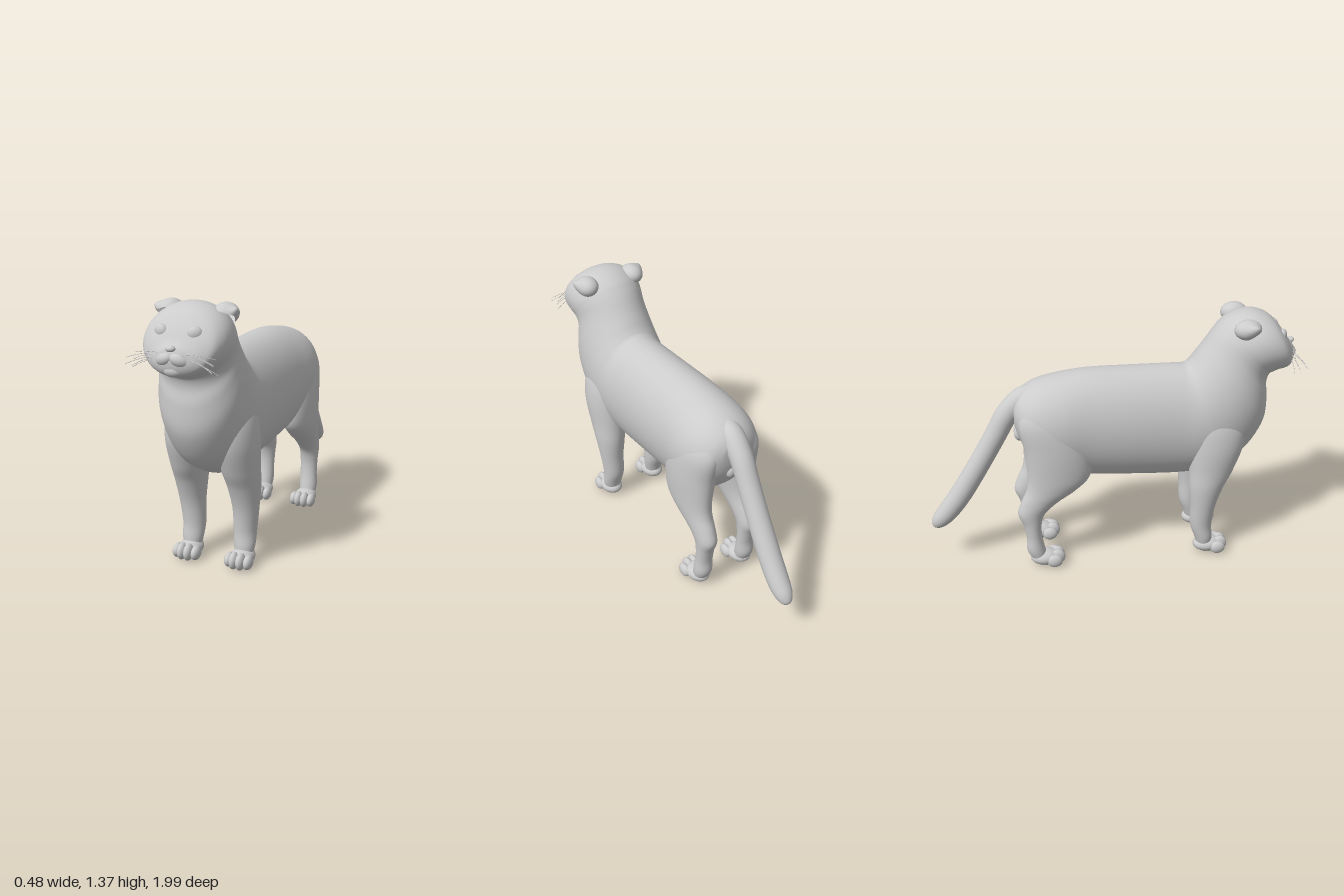
import * as THREE from 'three';

const material = new THREE.MeshStandardMaterial({ color: 0xcccccc });
const thin = new THREE.MeshStandardMaterial({ color: 0xcccccc, side: THREE.DoubleSide });

function add(group, name, geometry, mat = material) {
  const mesh = new THREE.Mesh(geometry, mat);
  mesh.name = name;
  group.add(mesh);
  return mesh;
}

// Smooth skin over tilted oval rings. Row: [zA, yA, zB, yB, halfWidth, centreX]
function loft(rows, side = 1, steps = 64, sides = 40) {
  const a = new THREE.CatmullRomCurve3(rows.map(r => new THREE.Vector3(r[4], r[1], r[0])), false, 'centripetal');
  a.curveType = 'catmullrom';
  const b = new THREE.CatmullRomCurve3(rows.map(r => new THREE.Vector3((r[5] || 0) * side, r[3], r[2])), false, 'catmullrom');
  const pos = [], index = [];
  for (let i = 0; i <= steps; i++) {
    const p = a.getPoint(i / steps), q = b.getPoint(i / steps);
    const end = i === 0 || i === steps ? 0.001 : 1; // closed ends
    for (let j = 0; j < sides; j++) {
      const t = j / sides * Math.PI * 2, c = Math.cos(t) * end, s = Math.sin(t) * end;
      pos.push(q.x + p.x * c, (p.y + q.y) / 2 + (p.y - q.y) / 2 * s, (p.z + q.z) / 2 + (p.z - q.z) / 2 * s);
      if (i < steps) {
        const k = i * sides + j, l = i * sides + (j + 1) % sides;
        index.push(k, k + sides, l, l, k + sides, l + sides);
      }
    }
  }
  const g = new THREE.BufferGeometry();
  g.setAttribute('position', new THREE.Float32BufferAttribute(pos, 3));
  g.setIndex(index);
  g.computeVertexNormals();
  return g;
}

function ball(group, name, [x, y, z], [rx, ry, rz]) {
  const mesh = add(group, name, new THREE.SphereGeometry(1, 24, 16));
  mesh.position.set(x, y, z);
  mesh.scale.set(rx, ry, rz);
  return mesh;
}

// Rump to muzzle, underside point then back point
const bodyRows = [
  [-0.52, 0.82, -0.525, 0.93, 0.06], [-0.49, 0.72, -0.48, 0.99, 0.14],
  [-0.42, 0.62, -0.40, 1.04, 0.195], [-0.30, 0.53, -0.28, 1.07, 0.22],
  [-0.12, 0.49, -0.12, 1.09, 0.213], [0.10, 0.47, 0.10, 1.09, 0.21],
  [0.35, 0.455, 0.33, 1.087, 0.207], [0.50, 0.465, 0.40, 1.087, 0.213],
  [0.62, 0.51, 0.43, 1.11, 0.22], [0.74, 0.59, 0.46, 1.15, 0.22],
  [0.83, 0.74, 0.49, 1.19, 0.213], [0.845, 0.88, 0.515, 1.225, 0.20],
  [0.835, 0.97, 0.54, 1.26, 0.193], [0.845, 1.02, 0.57, 1.295, 0.197],
  [0.865, 1.035, 0.61, 1.33, 0.204], [0.89, 1.045, 0.68, 1.362, 0.206],
  [0.92, 1.05, 0.755, 1.367, 0.198], [0.945, 1.06, 0.83, 1.34, 0.175],
  [0.96, 1.075, 0.89, 1.28, 0.13], [0.97, 1.10, 0.93, 1.22, 0.085],
  [0.975, 1.14, 0.962, 1.19, 0.045]];

// Legs from the ground up, front point then back point
const frontLegRows = [
  [0.55, 0.03, 0.47, 0.03, 0.04, 0.145], [0.55, 0.10, 0.45, 0.10, 0.055, 0.145],
  [0.545, 0.18, 0.425, 0.18, 0.06, 0.143], [0.56, 0.30, 0.42, 0.30, 0.068, 0.148],
  [0.60, 0.42, 0.41, 0.42, 0.083, 0.146], [0.65, 0.52, 0.41, 0.52, 0.094, 0.14],
  [0.70, 0.67, 0.41, 0.67, 0.105, 0.135], [0.69, 0.80, 0.42, 0.80, 0.09, 0.13],
  [0.60, 0.92, 0.46, 0.92, 0.04, 0.12]];
const hindLegRows = [
  [-0.37, 0.03, -0.45, 0.03, 0.04, 0.138], [-0.385, 0.10, -0.485, 0.10, 0.05, 0.138],
  [-0.40, 0.18, -0.485, 0.18, 0.048, 0.136], [-0.40, 0.26, -0.50, 0.26, 0.05, 0.135],
  [-0.375, 0.33, -0.525, 0.33, 0.055, 0.135], [-0.30, 0.40, -0.505, 0.40, 0.063, 0.136],
  [-0.20, 0.47, -0.475, 0.47, 0.075, 0.137], [-0.13, 0.55, -0.465, 0.55, 0.087, 0.135],
  [-0.12, 0.70, -0.475, 0.70, 0.1, 0.126], [-0.15, 0.85, -0.50, 0.85, 0.095, 0.115],
  [-0.22, 0.96, -0.46, 0.96, 0.06, 0.10]];

// Tail centre line: [z, y, radius]
const tailPath = [[-0.38, 0.975, 0.06], [-0.47, 0.945, 0.063], [-0.55, 0.865, 0.06],
  [-0.62, 0.74, 0.058], [-0.70, 0.60, 0.058], [-0.81, 0.42, 0.059],
  [-0.89, 0.31, 0.056], [-0.94, 0.255, 0.047], [-0.968, 0.225, 0.03], [-0.978, 0.212, 0.012]];
const tailRows = tailPath.map(([z, y, r], i) => {
  const p = tailPath[Math.max(i - 1, 0)], n = tailPath[Math.min(i + 1, tailPath.length - 1)];
  const dz = n[0] - p[0], dy = n[1] - p[1], l = Math.hypot(dz, dy);
  const oz = dy / l * r, oy = -dz / l * r;
  return [z + oz, y + oy, z - oz, y - oy, r];
});

function paw(group, name, x, z) {
  const g = new THREE.Group();
  g.name = name;
  group.add(g);
  ball(g, 'pawBase', [x, 0.047, z], [0.061, 0.044, 0.08]);
  ball(g, 'pawPad', [x, 0.014, z], [0.04, 0.014, 0.045]);
  [-0.051, -0.018, 0.018, 0.051].forEach((dx, i) => {
    const inner = i === 1 || i === 2;
    ball(g, 'toe', [x + dx, inner ? 0.046 : 0.04, z + (inner ? 0.068 : 0.05)],
      [0.0235, inner ? 0.044 : 0.037, 0.042]);
  });
}

// Folded ear: an open dome facing forward and down, its outer corner drawn to a tip
function earGeometry(s) {
  const g = new THREE.SphereGeometry(1, 32, 16, 0, Math.PI * 2, 0, Math.PI * 0.62);
  g.rotateX(-0.75);
  g.rotateZ(-s * 0.25);
  const p = g.attributes.position;
  for (let i = 0; i < p.count; i++) {
    const tip = Math.max(0, p.getX(i) * s) ** 5 * Math.max(0, p.getZ(i) + 0.5);
    p.setXYZ(i, p.getX(i) * 0.06 + s * tip * 0.02, p.getY(i) * 0.053 + tip * 0.035, p.getZ(i) * 0.072 + tip * 0.02);
  }
  g.computeVertexNormals();
  return g;
}

export function createModel() {
  const cat = new THREE.Group();
  cat.name = 'cat';
  add(cat, 'bodyAndHead', loft(bodyRows, 1, 120, 56));
  add(cat, 'tail', loft(tailRows));
  ball(cat, 'nose', [0, 1.19, 0.962], [0.024, 0.015, 0.02]);
  ball(cat, 'chin', [0, 1.088, 0.94], [0.05, 0.032, 0.032]);

  for (const s of [-1, 1]) {
    const side = s > 0 ? 'left' : 'right';
    add(cat, side + 'FrontLeg', loft(frontLegRows, s));
    add(cat, side + 'HindLeg', loft(hindLegRows, s));
    paw(cat, side + 'FrontPaw', s * 0.145, 0.525);
    paw(cat, side + 'HindPaw', s * 0.138, -0.388);
    ball(cat, side + 'RumpBump', [s * 0.022, 0.755, -0.49], [0.027, 0.04, 0.03]);

    // Face
    add(cat, side + 'Ear', earGeometry(s), thin).position.set(s * 0.14, 1.31, 0.685);
    ball(cat, side + 'Eye', [s * 0.085, 1.25, 0.887], [0.036, 0.033, 0.024]).rotation.y = s * 0.4;
    const pad = ball(cat, side + 'MuzzlePad', [s * 0.037, 1.138, 0.945], [0.05, 0.033, 0.036]);
    pad.rotation.set(0, s * 0.4, -s * 0.35);
    const fang = add(cat, side + 'Fang', new THREE.ConeGeometry(0.007, 0.035, 10));
    fang.position.set(s * 0.07, 1.092, 0.935);
    fang.rotation.x = Math.PI;

    // Whiskers fan out and droop
    for (let i = 0; i < 6; i++) {
      const y = 1.13 + i * 0.007, z = 0.93 + (i % 3) * 0.01;
      const curve = new THREE.QuadraticBezierCurve3(
        new THREE.Vector3(s * 0.06, y, z),
        new THREE.Vector3(s * 0.13, y + 0.005 + i * 0.001, z + 0.012),
        new THREE.Vector3(s * (0.215 - (i % 2) * 0.015), 1.08 + i * 0.014, 0.925 + (i * 2 % 5) * 0.017));
      add(cat, side + 'Whisker', new THREE.TubeGeometry(curve, 12, 0.0015, 5));
    }
  }
  return cat;
}
